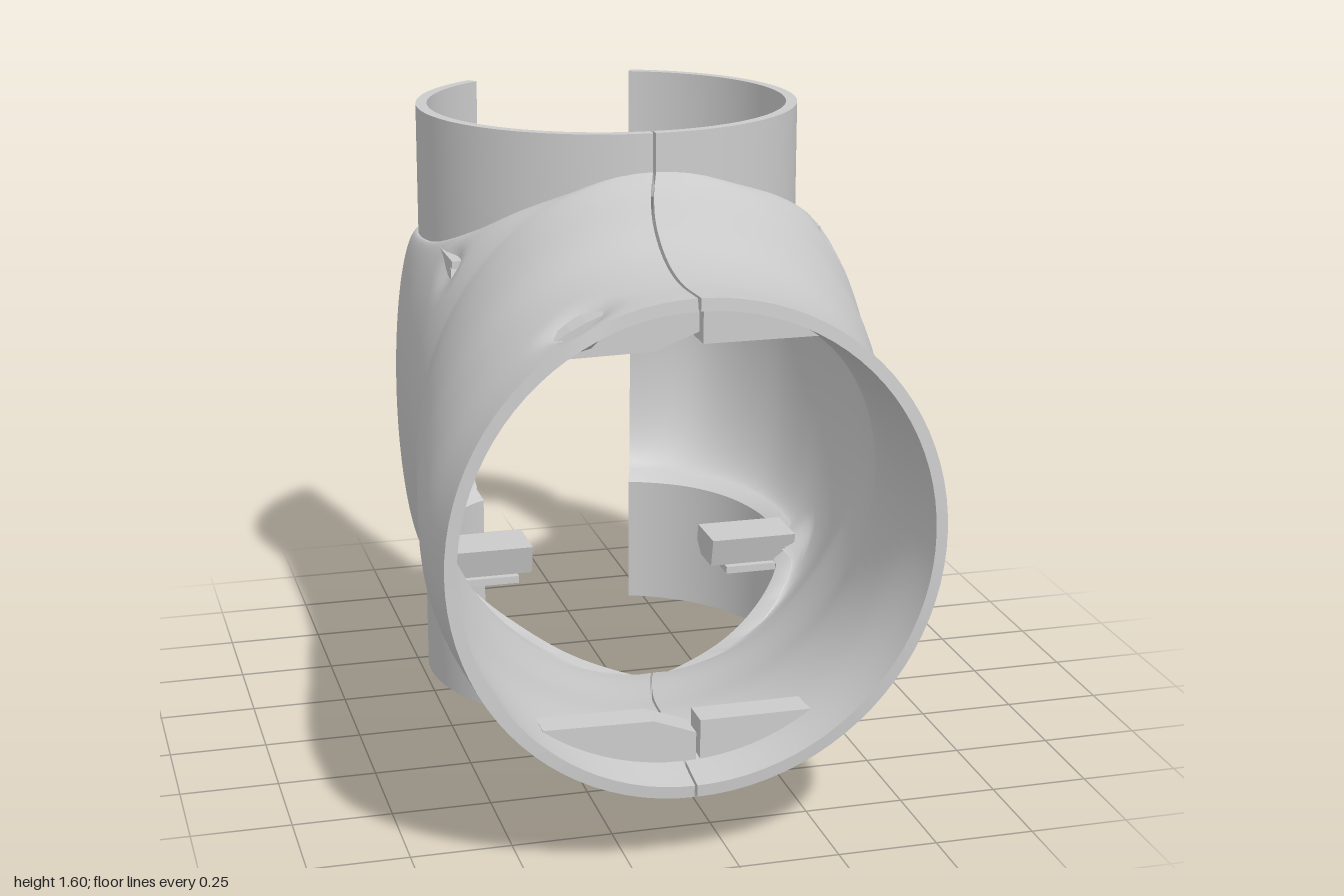
import * as THREE from 'three';
import { mergeVertices, mergeGeometries, toCreasedNormals } from 'three/addons/utils/BufferGeometryUtils.js';

const MID = 0.8, WALL = 0.03;
const material = new THREE.MeshStandardMaterial({ color: 0xcccccc, side: THREE.DoubleSide });

const curve = (points) => new THREE.CatmullRomCurve3(points.map((p) => new THREE.Vector3(...p)));

// Surface through a grid of points, at(u, v): u runs front to back, v top to bottom
function gridSurface(nu, nv, flip, at) {
  const pos = [], idx = [];
  for (let i = 0; i <= nu; i++)
    for (let j = 0; j <= nv; j++) pos.push(...at(i / nu, j));
  for (let i = 0; i < nu; i++)
    for (let j = 0; j < nv; j++) {
      const a = i * (nv + 1) + j, b = a + 1, c = a + nv + 1, d = c + 1;
      idx.push(...(flip ? [a, c, b, b, c, d] : [a, b, c, b, d, c]));
    }
  const g = new THREE.BufferGeometry();
  g.setAttribute('position', new THREE.Float32BufferAttribute(pos, 3));
  g.setIndex(idx);
  return g;
}

// Gives a sheet a wall thickness and closes its open edges
function thicken(sheet, t) {
  const g = mergeVertices(sheet, 1e-4);
  g.computeVertexNormals();
  const p = g.attributes.position, n = g.attributes.normal, count = p.count;
  const pos = Array.from(p.array), src = Array.from(g.index.array), idx = [...src];
  for (let i = 0; i < count; i++)
    pos.push(p.getX(i) - t * n.getX(i), p.getY(i) - t * n.getY(i), p.getZ(i) - t * n.getZ(i));
  const edges = new Set();
  for (let k = 0; k < src.length; k += 3) {
    idx.push(src[k] + count, src[k + 2] + count, src[k + 1] + count);
    for (let e = 0; e < 3; e++) edges.add(src[k + e] + '_' + src[k + (e + 1) % 3]);
  }
  for (const e of edges) {
    const [a, b] = e.split('_').map(Number);
    if (!edges.has(b + '_' + a)) idx.push(b, a, a + count, b, a + count, b + count);
  }
  const out = new THREE.BufferGeometry();
  out.setAttribute('position', new THREE.Float32BufferAttribute(pos, 3));
  out.setIndex(idx);
  return toCreasedNormals(out, 0.75);
}

// Pushes the surface in around small fixing points
function dent(g, spots) {
  const p = g.attributes.position, v = new THREE.Vector3();
  for (let i = 0; i < p.count; i++) {
    v.fromBufferAttribute(p, i);
    for (const { at, push, r } of spots) {
      const d = v.distanceTo(at) / r;
      if (d < 1) v.addScaledVector(push, (1 - d) * (1 - d * d));
    }
    p.setXYZ(i, v.x, v.y, v.z);
  }
}

// One half of the shell; s = 1 is the left half, s = -1 the right half
function halfShell(s, tubeSide, pipeSide, endAngle, spots) {
  const rows = 44, collarRows = 4;
  const zs = [1, 0.8, 0.6, 0.4, 0.2, 0.09];
  const seamX = [-0.11, -0.1, -0.08, -0.05, 0, 0.035];
  const tubeH = [0.605, 0.592, 0.602, 0.638, 0.672, 0.7];

  // Horizontal tube: half rings between the seam and the side
  const seam = curve(zs.map((z, i) => [seamX[i] + s * 0.004, tubeH[i], z]));
  const side = curve(zs.map((z, i) => [tubeSide[i], 0, z]));
  const tube = gridSurface(30, rows, s < 0, (u, j) => {
    const T = seam.getPoint(u), M = side.getPoint(u), a = Math.PI * (0.5 - j / rows);
    return [T.x + (M.x - T.x) * Math.cos(a), MID + T.y * Math.sin(a), T.z];
  });

  // Upright pipe: straight collars above and below a bulging middle
  const bulge = curve(pipeSide.map(([x, z]) => [x, 0, z]));
  const height = curve([0.7, 0.63, 0.54, 0.47, 0.45, 0.44, 0.44].map((h, i) => [i, h, 0]));
  const pipe = gridSurface(54, rows + 2 * collarRows, s < 0, (u, j) => {
    const ang = u * endAngle, M = bulge.getPoint(u), H = height.getPoint(u).y;
    const x = 0.035 + s * (0.004 + 0.511 * Math.sin(ang)), z = -0.4 + 0.49 * Math.cos(ang);
    const k = j - collarRows;
    if (k < 0) return [x, 1.6 + (0.8 - H) * (-j / collarRows), z];
    if (k > rows) return [x, (0.8 - H) * (1 - (k - rows) / collarRows), z];
    const a = Math.PI * (0.5 - k / rows), w = Math.cos(a);
    return [x + (M.x - x) * w, MID + H * Math.sin(a), z + (M.z - z) * w];
  });

  const sheet = mergeGeometries([tube, pipe]);
  dent(sheet, spots);
  return thicken(sheet, WALL);
}

const spot = (x, y, z, px, py, r) =>
  ({ at: new THREE.Vector3(x, y, z), push: new THREE.Vector3(px, py, 0), r });

// Flat closing tab: chord polygon on the inside, arc against the tube wall
function tabGeometry(chord, bottom) {
  const cx = -0.1, r = 0.585, sgn = bottom ? -1 : 1;
  const shape = new THREE.Shape(chord.map(([x, h]) => new THREE.Vector2(x, MID + sgn * h)));
  const x0 = chord[0][0], x1 = chord[chord.length - 1][0];
  for (let i = 0; i <= 10; i++) {
    const x = x1 + (x0 - x1) * i / 10;
    shape.lineTo(x, MID + sgn * Math.sqrt(r * r - (x - cx) ** 2));
  }
  return new THREE.ExtrudeGeometry(shape, { depth: 0.08, bevelEnabled: false });
}

export function createModel() {
  const group = new THREE.Group();
  const add = (name, geo, x = 0, y = 0, z = 0) => {
    const m = new THREE.Mesh(geo, material);
    m.name = name;
    m.position.set(x, y, z);
    group.add(m);
    return m;
  };

  // Two shell halves
  add('leftShell', halfShell(1,
    [0.5, 0.475, 0.5, 0.57, 0.63, 0.65],
    [[0.65, 0.09], [0.685, -0.08], [0.7, -0.24], [0.69, -0.43], [0.63, -0.67], [0.48, -0.89], [0.26, -0.99]],
    2.78,
    [spot(0.57, 1.26, -0.09, -0.07, 0, 0.1), spot(0.57, 0.3, -0.25, -0.06, 0, 0.1)]));
  add('rightShell', halfShell(-1,
    [-0.7, -0.71, -0.685, -0.65, -0.615, -0.59],
    [[-0.59, 0.09], [-0.575, -0.08], [-0.56, -0.24], [-0.55, -0.42], [-0.52, -0.6], [-0.44, -0.76], [-0.3, -0.9]],
    2.53,
    [spot(-0.51, 1.26, -0.09, 0.05, 0, 0.1), spot(-0.51, 0.3, -0.25, 0.05, 0, 0.1),
      spot(-0.36, 1.33, 0.88, 0.01, -0.05, 0.11)]));

  // Closing tabs just inside the front rim, at the top and bottom of the seam
  for (const bottom of [false, true]) {
    const place = bottom ? 'Bottom' : 'Top';
    add('left' + place + 'Tab', tabGeometry([[-0.065, 0.465], [0.22, 0.465]], bottom), 0, 0, 0.8);
    add('right' + place + 'Tab', tabGeometry([[-0.45, 0.45], [-0.18, 0.455], [-0.075, 0.495]], bottom), 0, 0, 0.8);
  }

  // Fixing clips inside the upright pipe: a chamfered block on a thin plate
  const profile = new THREE.Shape([[-0.08, -0.05], [0.07, -0.05], [0.08, 0.01], [0.04, 0.05], [-0.06, 0.05]]
    .map((p) => new THREE.Vector2(...p)));
  const block = new THREE.ExtrudeGeometry(profile, { depth: 0.24, bevelEnabled: false });
  block.translate(0, 0, -0.12).rotateY(Math.PI / 2);
  const plate = new THREE.BoxGeometry(0.2, 0.02, 0.16);
  for (const s of [1, -1])
    for (const [place, y, z] of [['Upper', s > 0 ? 1.23 : 1.195, -0.13], ['Lower', s > 0 ? 0.34 : 0.37, -0.29]]) {
      const x = s > 0 ? 0.41 : -0.345;
      const name = (s > 0 ? 'left' : 'right') + place + 'Clip';
      add(name, block, x, y, z).scale.y = place === 'Upper' ? 1 : -0.8;
      add(name + 'Plate', plate, x + s * 0.02, y + (place === 'Upper' ? 0.06 : -0.05), z);
    }
  return group;
}
